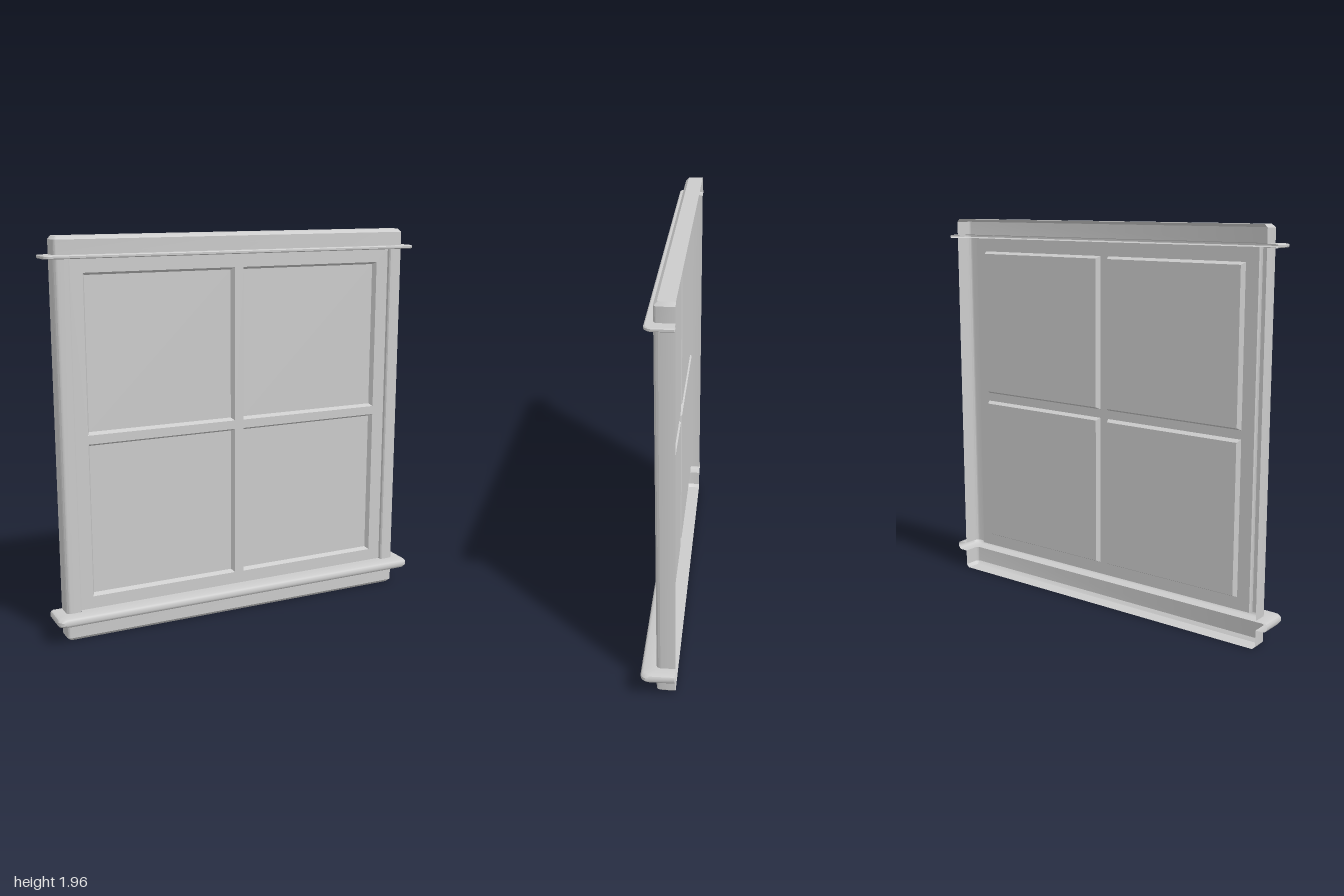
import * as THREE from 'three';
import { toCreasedNormals } from 'three/addons/utils/BufferGeometryUtils.js';

const BACK = -0.08, FACE = 0.01, SASH = -0.012, PANE = -0.036, HALF = 0.94;
const material = new THREE.MeshStandardMaterial({ color: 0xcccccc, side: THREE.DoubleSide });

function addMesh(group, name, geometry) {
  const mesh = new THREE.Mesh(geometry, material);
  mesh.name = name;
  group.add(mesh);
  return mesh;
}

// Skin through a list of point rings, with optional fan caps on the first and last
function loft(rings, { closed = false, capStart = false, capEnd = false } = {}) {
  const n = rings[0].length, index = [];
  const last = (rings.length - 1) * n;
  for (let r = 0; r < rings.length - 1; r++) {
    for (let i = 0; i < (closed ? n : n - 1); i++) {
      const a = r * n + i, b = r * n + (i + 1) % n;
      index.push(a, b, b + n, a, b + n, a + n);
    }
  }
  for (let i = 1; i < n - 1; i++) {
    if (capStart) index.push(0, i + 1, i);
    if (capEnd) index.push(last, last + i, last + i + 1);
  }
  const g = new THREE.BufferGeometry();
  g.setAttribute('position', new THREE.Float32BufferAttribute(rings.flat(2), 3));
  g.setIndex(index);
  return toCreasedNormals(g, 0.6);
}

// U-shaped outline at height y: right side, rounded corners, front, left side
function outline(y, offX, offZ, radius) {
  const x = HALF + offX, z = FACE + offZ, half = [];
  half.push([x, y, BACK]);
  for (let i = 0; i <= 5; i++) {
    const a = (i / 5) * Math.PI / 2;
    half.push([x - radius + radius * Math.cos(a), y, z - radius + radius * Math.sin(a)]);
  }
  return [...half.map(([px, py, pz]) => [-px, py, pz]), ...half.reverse()];
}

// Trim shell, open at the back; profile rows are [y, offsetX, offsetZ, radius]
const trim = (profile, caps) => loft(profile.map((p) => outline(...p)), caps);

function rectangle(x0, y0, x1, y1, inset, z) {
  const a = x0 + inset, b = y0 + inset, c = x1 - inset, d = y1 - inset;
  return [[a, b, z], [c, b, z], [c, d, z], [a, d, z]];
}

export function createModel() {
  const model = new THREE.Group();
  model.name = 'window';

  // Chamfered board under the sill
  addMesh(model, 'bottomBoard', trim([
    [0, -0.015, -0.015, 0.015], [0.016, 0, 0, 0.02], [0.097, 0, 0, 0.02],
  ], { capStart: true }));

  // Deep sill with a rounded nose
  addMesh(model, 'sill', trim([
    [0.097, 0, 0, 0.02], [0.097, 0.04, 0.05, 0.03], [0.103, 0.053, 0.063, 0.035],
    [0.114, 0.06, 0.07, 0.035], [0.13, 0.06, 0.07, 0.035], [0.139, 0.055, 0.065, 0.035],
    [0.144, 0.045, 0.055, 0.03], [0.144, 0, 0, 0.02],
  ]));

  // Thin ledge across the head
  addMesh(model, 'headLedge', trim([
    [1.858, 0, 0, 0.02], [1.858, 0.05, 0.03, 0.03], [1.862, 0.055, 0.035, 0.035],
    [1.871, 0.055, 0.035, 0.035], [1.875, 0.05, 0.03, 0.03], [1.875, 0, 0, 0.02],
  ]));

  // Chamfered board above the ledge
  addMesh(model, 'headBoard', trim([
    [1.875, 0, 0, 0.02], [1.944, 0, 0, 0.02], [1.96, -0.015, -0.015, 0.015],
  ], { capEnd: true }));

  // Side casings, rounded outside and stepped down to the sash
  const section = [
    [0.865, SASH], [0.865, 0.004], [0.871, FACE], [0.92, FACE],
    [0.93, 0.0073], [0.9373, 0], [HALF, -0.01], [HALF, BACK],
  ];
  for (const side of [1, -1]) {
    const points = side > 0 ? section : [...section].reverse();
    addMesh(model, side > 0 ? 'leftCasing' : 'rightCasing',
      loft([0.144, 1.858].map((y) => points.map(([x, z]) => [side * x, y, z]))));
  }

  // Narrow returns joining sill and head to the sash
  for (const [name, y] of [['sillReturn', 0.144], ['headReturn', 1.858]]) {
    const strip = new THREE.PlaneGeometry(1.73, FACE - SASH);
    strip.rotateX(y < 1 ? -Math.PI / 2 : Math.PI / 2);
    addMesh(model, name, strip).position.set(0, y, (FACE + SASH) / 2);
  }

  // Sash face with four openings, each holding a bevelled, recessed pane
  const sash = new THREE.Shape([[-0.865, 0.144], [0.865, 0.144], [0.865, 1.858], [-0.865, 1.858]]
    .map(([x, y]) => new THREE.Vector2(x, y)));
  for (const [x0, x1] of [[-0.798, -0.024], [0.024, 0.798]]) {
    for (const [y0, y1] of [[0.206, 0.976], [1.02, 1.79]]) {
      const corners = rectangle(x0, y0, x1, y1, 0, SASH);
      sash.holes.push(new THREE.Path(corners.map(([x, y]) => new THREE.Vector2(x, y))));
      addMesh(model, 'pane', loft([
        corners,
        rectangle(x0, y0, x1, y1, 0.012, PANE),
      ], { closed: true, capEnd: true }));
    }
  }
  addMesh(model, 'sash', new THREE.ShapeGeometry(sash)).position.z = SASH;

  return model;
}
